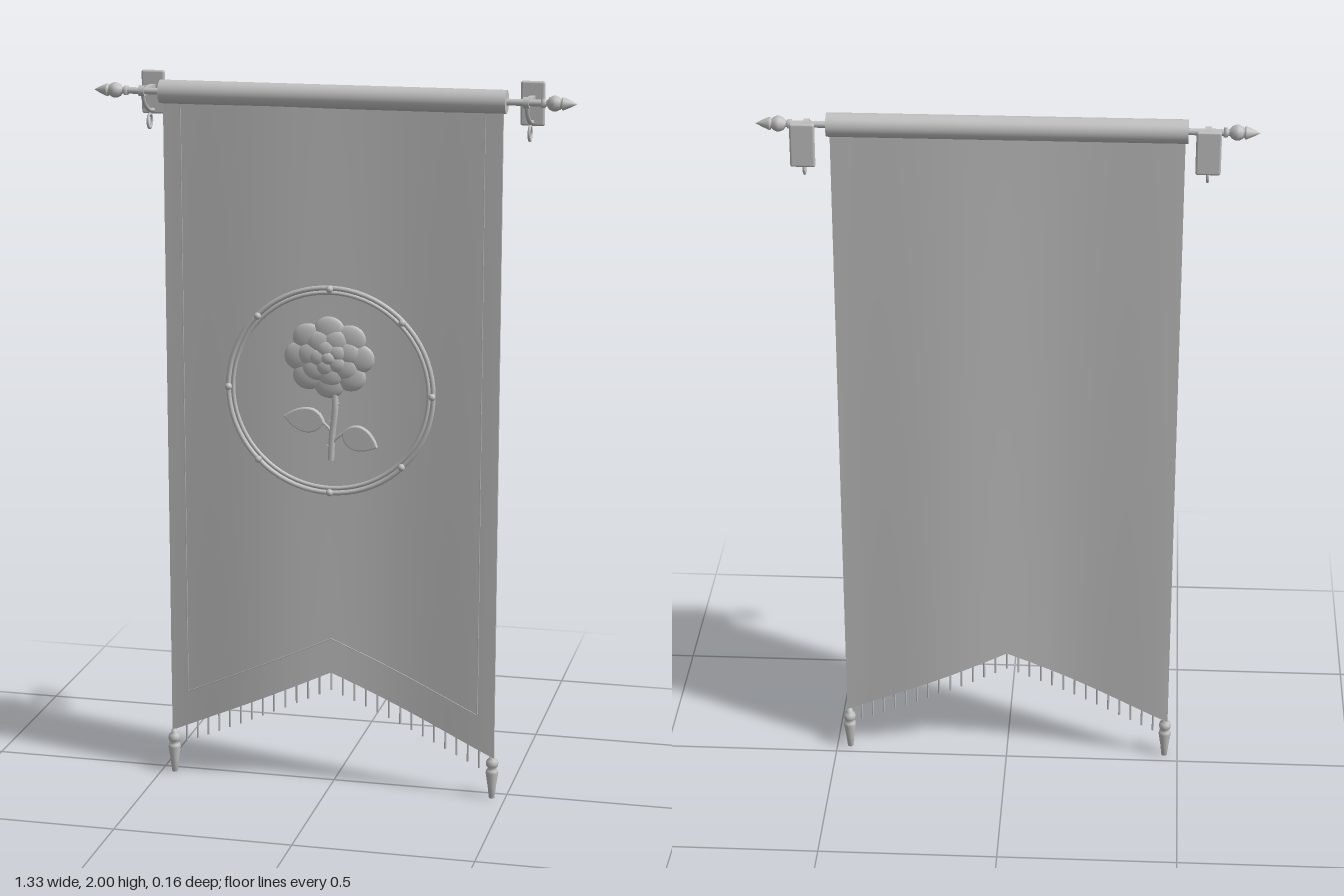
import * as THREE from 'three';
import { RoundedBoxGeometry } from 'three/addons/geometries/RoundedBoxGeometry.js';

const grey = new THREE.MeshStandardMaterial({ color: 0xc0c0c0 });
grey.name = 'plain grey';

const ROD_Y = 1.956, ROD_Z = 0.031, HALF = 0.469, THICK = 0.009;

// lower edge of the cloth (swallowtail) and its gentle vertical folds
const hemY = (x) => 0.335 - 0.455 * Math.abs(x);
const foldZ = (x, y) => 0.034 - (0.011 - 0.003 * y) * Math.sin((x * 2 * Math.PI) / 0.68);

function add(parent, name, geometry, x = 0, y = 0, z = 0) {
  const mesh = new THREE.Mesh(geometry, grey);
  mesh.name = name;
  mesh.position.set(x, y, z);
  parent.add(mesh);
  return mesh;
}

function group(parent, name) {
  const g = new THREE.Group();
  g.name = name;
  parent.add(g);
  return g;
}

const lathe = (pts, seg = 20) =>
  new THREE.LatheGeometry(pts.map(([r, y]) => new THREE.Vector2(r, y)), seg);

const tube = (pts, r, seg = 24) =>
  new THREE.TubeGeometry(new THREE.CatmullRomCurve3(pts.map((p) => new THREE.Vector3(...p))), seg, r, 8);

// box whose vertices are moved onto the folded cloth
function clothGeometry() {
  const g = new THREE.BoxGeometry(2, 1, THICK, 72, 24, 1);
  const p = g.attributes.position;
  for (let i = 0; i < p.count; i++) {
    const x = p.getX(i) * HALF;
    const y = THREE.MathUtils.lerp(hemY(x), 1.94, p.getY(i) + 0.5);
    p.setXYZ(i, x, y, foldZ(x, y) + p.getZ(i));
  }
  g.computeVertexNormals();
  return g;
}

// fine raised piping lying on the front of the cloth
function piping(a, b) {
  const pts = [];
  for (let i = 0; i <= 16; i++) {
    const x = THREE.MathUtils.lerp(a[0], b[0], i / 16);
    const y = THREE.MathUtils.lerp(a[1], b[1], i / 16);
    pts.push([x, y, foldZ(x, y) + THICK / 2 - 0.001]);
  }
  return tube(pts, 0.002, 32);
}

function leafGeometry(length, width) {
  const s = new THREE.Shape();
  s.moveTo(0, 0);
  s.bezierCurveTo(length * 0.2, width * 0.8, length * 0.7, width * 0.6, length, 0);
  s.bezierCurveTo(length * 0.7, -width * 0.5, length * 0.2, -width * 0.8, 0, 0);
  return new THREE.ExtrudeGeometry(s, {
    depth: 0.012, bevelEnabled: true, bevelSize: 0.003, bevelThickness: 0.003, bevelSegments: 2, curveSegments: 12,
  });
}

function addBracket(parent, side) {
  const b = group(parent, 'wallBracket');
  b.position.x = side * 0.528;
  add(b, 'wallPlate', new RoundedBoxGeometry(0.066, 0.12, 0.014, 3, 0.006), 0, 1.94, -0.077);
  add(b, 'bracketArm', new THREE.BoxGeometry(0.016, 0.012, 0.1), 0, ROD_Y, -0.022);
  add(b, 'rodCollar', new THREE.CylinderGeometry(0.015, 0.015, 0.016, 20), 0, ROD_Y, ROD_Z).rotation.z = Math.PI / 2;
  add(b, 'curvedBrace', tube([[0, 1.943, 0.026], [0, 1.915, 0.005], [0, 1.897, -0.03], [0, 1.89, -0.072]], 0.006));
  add(b, 'hangingRing', new THREE.TorusGeometry(0.019, 0.004, 8, 24), 0, 1.865, -0.037).rotation.y = Math.PI / 2;
}

function addFinial(parent, side) {
  const f = add(parent, 'finial', lathe([
    [0, 0], [0.013, 0], [0.013, 0.01], [0.009, 0.012], [0.009, 0.016], [0.016, 0.021], [0.021, 0.032],
    [0.021, 0.04], [0.016, 0.05], [0.012, 0.054], [0.017, 0.056], [0.017, 0.06], [0.009, 0.079], [0, 0.096],
  ]), side * 0.568, ROD_Y, ROD_Z);
  f.rotation.z = -side * Math.PI / 2;
}

function addTassel(parent, side) {
  const x = side * 0.462;
  const z = 0.034;
  add(parent, 'tassel', lathe([
    [0, 0], [0.008, 0], [0.012, 0.035], [0.018, 0.075], [0.016, 0.083], [0.01, 0.087],
    [0.016, 0.094], [0.018, 0.103], [0.015, 0.112], [0.008, 0.118], [0.008, 0.126], [0, 0.128],
  ], 16), x, 0, z);
}

function addRose(parent) {
  const rose = group(parent, 'rose');
  rose.position.set(-0.002, 1.245, 0.047);
  const ball = new THREE.SphereGeometry(1, 20, 12);
  const petal = (name, r, a, size, z, depth) => {
    const m = add(rose, name, ball, r * Math.cos(a) * 1.12, r * Math.sin(a), z);
    m.scale.set(size * 1.1, size, depth);
  };
  // three overlapping tiers of petals and a bud
  for (let i = 0; i < 8; i++) petal('outerPetal', 0.074, Math.PI / 2 + (i * Math.PI) / 4, 0.04, 0.001, 0.012);
  for (let i = 0; i < 7; i++) petal('middlePetal', 0.047, 0.3 + (i * Math.PI * 2) / 7, 0.034, 0.006, 0.012);
  for (let i = 0; i < 5; i++) petal('innerPetal', 0.025, 0.6 + (i * Math.PI * 2) / 5, 0.025, 0.011, 0.011);
  petal('bud', 0, 0, 0.018, 0.016, 0.01);

  // stem with thorns and two leaves on stalks
  add(parent, 'stem', tube([[0.012, 1.17, 0.046], [0.014, 1.1, 0.048], [0.006, 1.03, 0.047], [0.002, 0.955, 0.046]], 0.009));
  [[0.024, 1.115, -1], [0.001, 1.065, 1], [-0.006, 0.995, 1]].forEach(([x, y, s]) => {
    add(parent, 'thorn', new THREE.ConeGeometry(0.005, 0.016, 8), x, y, 0.048).rotation.z = s * 1.1;
  });
  const leaf = (length, x, y, angle, stalk) => {
    add(parent, 'leaf', leafGeometry(length, 0.062), x, y, 0.042).rotation.z = angle;
    add(parent, 'leafStalk', tube(stalk, 0.004, 12));
  };
  leaf(0.108, -0.019, 1.062, Math.PI - 0.12, [[0.006, 1.033, 0.047], [-0.008, 1.05, 0.048], [-0.022, 1.062, 0.048]]);
  leaf(0.098, 0.038, 1.035, -0.36, [[0.004, 1.0, 0.047], [0.02, 1.02, 0.048], [0.04, 1.035, 0.048]]);
}

function addMedallion(parent) {
  const m = group(parent, 'medallion');
  add(m, 'outerRing', new THREE.TorusGeometry(0.288, 0.007, 10, 72), 0, 1.15, 0.049);
  add(m, 'innerRing', new THREE.TorusGeometry(0.275, 0.006, 10, 72), 0, 1.15, 0.047);
  const bead = new THREE.SphereGeometry(0.01, 14, 10);
  for (let i = 0; i < 8; i++) {
    const a = (i * Math.PI) / 4;
    add(m, 'bead', bead, 0.286 * Math.cos(a), 1.15 + 0.286 * Math.sin(a), 0.056);
  }
  addRose(m);
}

export function createModel() {
  const banner = new THREE.Group();
  banner.name = 'hangingBanner';

  add(banner, 'cloth', clothGeometry());
  add(banner, 'rodSleeve', new THREE.CylinderGeometry(0.032, 0.032, 0.952, 32), 0, ROD_Y, ROD_Z).rotation.z = Math.PI / 2;
  add(banner, 'rod', new THREE.CylinderGeometry(0.009, 0.009, 1.15, 16), 0, ROD_Y, ROD_Z).rotation.z = Math.PI / 2;

  for (const side of [1, -1]) {
    addBracket(banner, side);
    addFinial(banner, side);
    addTassel(banner, side);
    add(banner, 'sidePiping', piping([side * 0.42, 1.92], [side * 0.42, hemY(0.42) + 0.1]));
    add(banner, 'hemPiping', piping([0, hemY(0) + 0.1], [side * 0.42, hemY(0.42) + 0.1]));
  }

  // fringe threads along the hem
  const thread = new THREE.CylinderGeometry(0.003, 0.003, 0.06, 8);
  for (let i = -13; i <= 13; i++) {
    const x = i * 0.0328;
    add(banner, 'fringeThread', thread, x, hemY(x) - 0.022, foldZ(x, hemY(x)));
  }

  addMedallion(banner);
  return banner;
}
